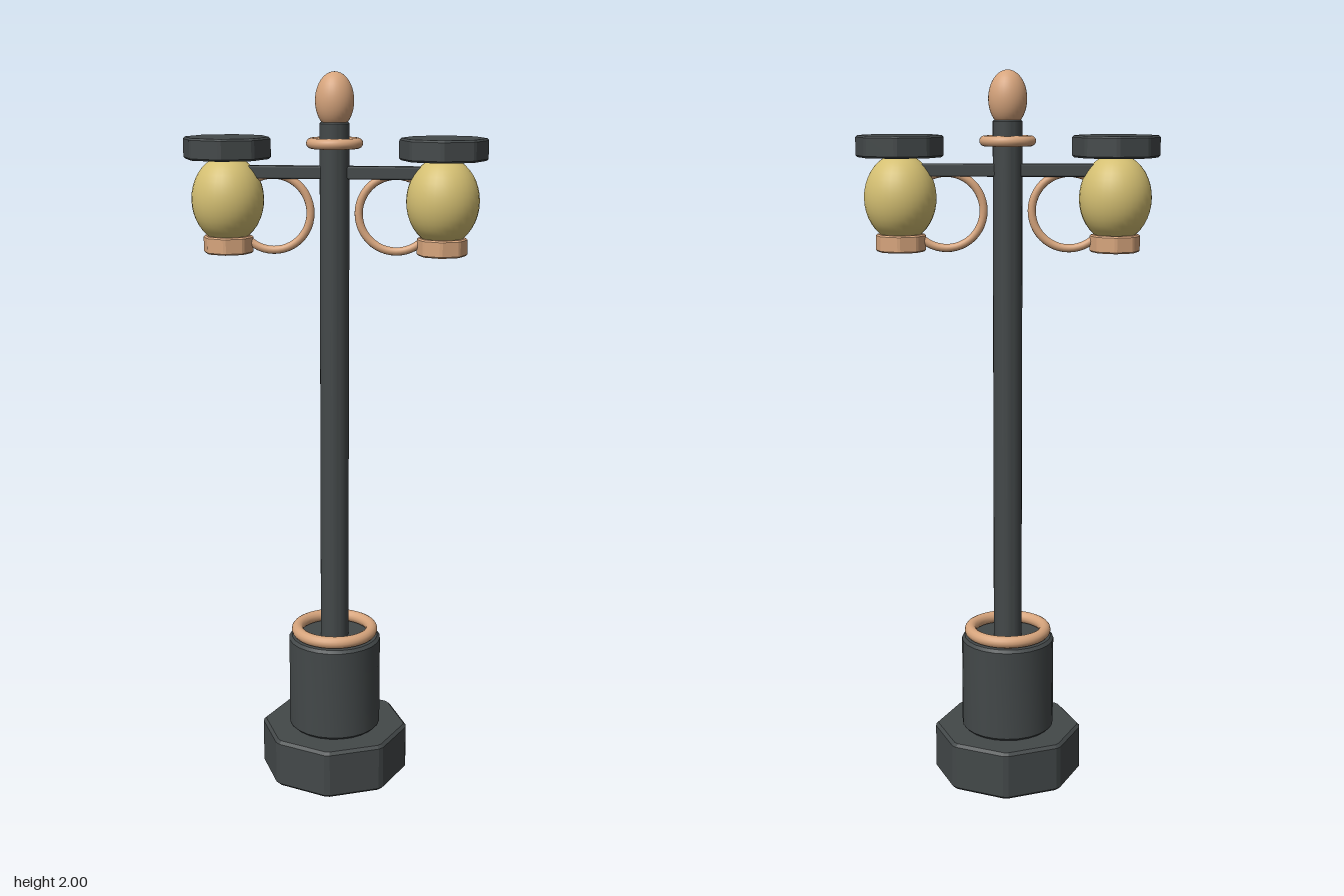
import * as THREE from 'three';
import { toCreasedNormals } from 'three/addons/utils/BufferGeometryUtils.js';
import { RoundedBoxGeometry } from 'three/addons/geometries/RoundedBoxGeometry.js';

const iron = new THREE.MeshStandardMaterial({ name: 'dark iron', color: 0x434849 });
const copper = new THREE.MeshStandardMaterial({ name: 'copper', color: 0xd6a47c });
const glass = new THREE.MeshStandardMaterial({ name: 'amber glass', color: 0xd4bf72 });

function add(parent, name, geometry, material, x = 0, y = 0, z = 0) {
  const mesh = new THREE.Mesh(geometry, material);
  mesh.name = name;
  mesh.position.set(x, y, z);
  parent.add(mesh);
  return mesh;
}

// Upright octagonal block with chamfered corners and rims, standing on y = 0
function octagonBlock(radius, height, bevel) {
  const r = radius - bevel;
  const corners = [];
  for (let i = 0; i < 8; i++) {
    for (const side of [-1, 1]) {
      const a = (i * Math.PI) / 4 + (side * bevel * 0.8) / r;
      corners.push(new THREE.Vector2(r * Math.cos(a), r * Math.sin(a)));
    }
  }
  const geometry = new THREE.ExtrudeGeometry(new THREE.Shape(corners), {
    depth: height - 2 * bevel, bevelEnabled: true,
    bevelThickness: bevel, bevelSize: bevel, bevelSegments: 1,
  });
  geometry.translate(0, 0, bevel);
  geometry.rotateX(-Math.PI / 2);
  return geometry;
}

// Round column with chamfered rims, standing on y = 0
function column(radius, height, bevel, sides) {
  const profile = [
    [0, 0], [radius - bevel, 0], [radius, bevel],
    [radius, height - bevel], [radius - bevel, height], [0, height],
  ].map(([x, y]) => new THREE.Vector2(x, y));
  return toCreasedNormals(new THREE.LatheGeometry(profile, sides), 0.5);
}

function ring(radius, tube) {
  return new THREE.TorusGeometry(radius, tube, 14, 48).rotateX(Math.PI / 2);
}

function egg(radius, halfHeight) {
  return new THREE.SphereGeometry(radius, 32, 20).scale(1, halfHeight / radius, 1);
}

export function createModel() {
  const model = new THREE.Group();
  model.name = 'streetLamp';

  // Foot and post
  add(model, 'base', octagonBlock(0.21, 0.14, 0.008), iron);
  add(model, 'drum', column(0.132, 0.275, 0.008, 24), iron, 0, 0.14);
  add(model, 'drumRing', ring(0.107, 0.017), copper, 0, 0.432);
  add(model, 'post', column(0.04, 1.47, 0.004, 24), iron, 0, 0.4);

  // Top of the post
  add(model, 'collarRing', ring(0.062, 0.014), copper, 0, 1.815);
  add(model, 'finial', egg(0.052, 0.075), copper, 0, 1.925);

  // Crossbar and the two lanterns
  add(model, 'crossbar', new RoundedBoxGeometry(0.58, 0.034, 0.036, 1, 0.005), iron, 0, 1.738);
  for (const [name, side] of [['left', 1], ['right', -1]]) {
    const lantern = new THREE.Group();
    lantern.name = name + 'Lantern';
    lantern.position.x = 0.29 * side;
    add(lantern, 'cap', octagonBlock(0.118, 0.058, 0.005), iron, 0, 1.772);
    add(lantern, 'globe', egg(0.098, 0.118), glass, 0, 1.664);
    add(lantern, 'cup', octagonBlock(0.068, 0.047, 0.004), copper, 0, 1.52);
    add(lantern, 'scroll', new THREE.TorusGeometry(0.101, 0.011, 12, 48), copper, -0.124 * side, 1.63);
    model.add(lantern);
  }
  return model;
}
